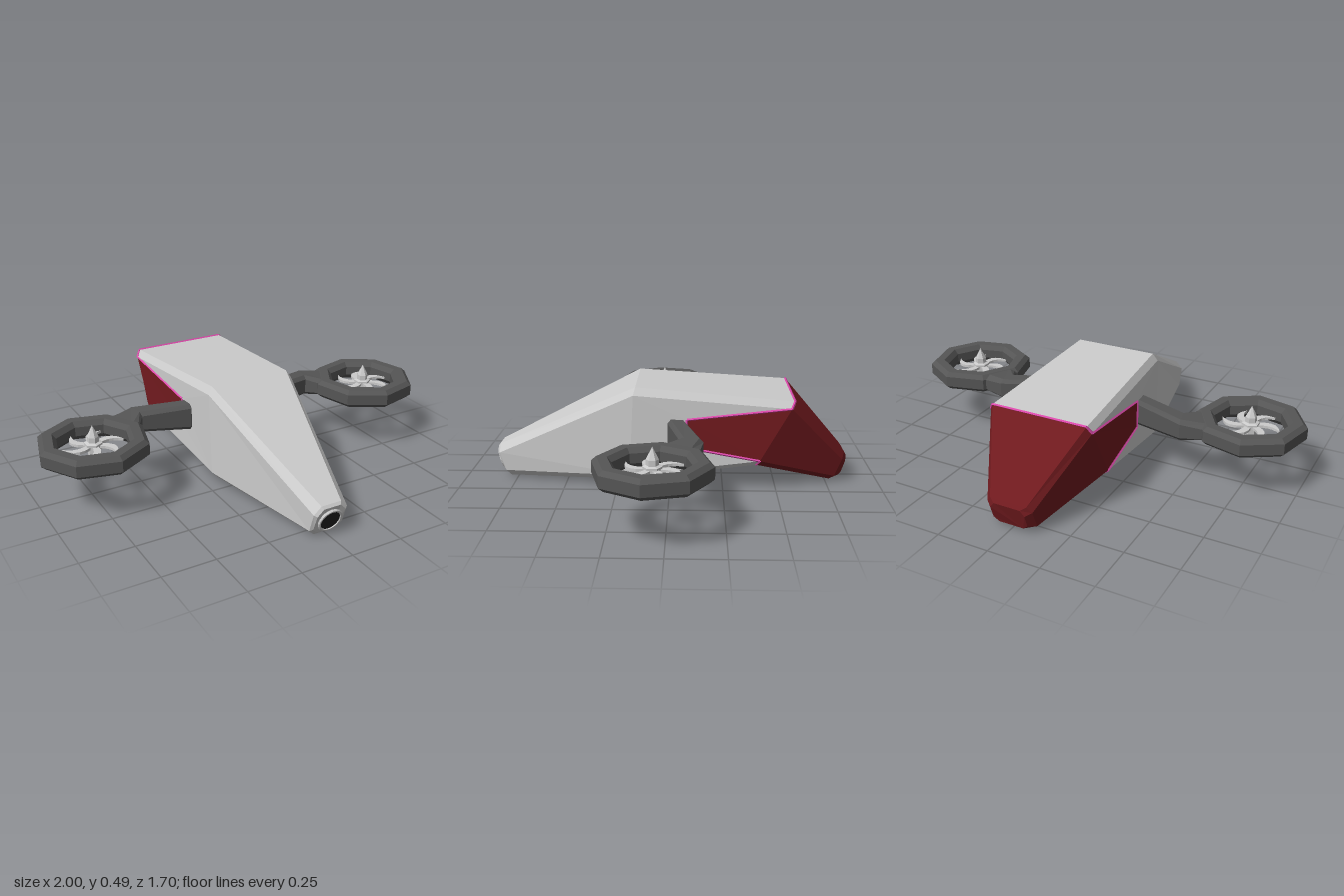
import * as THREE from 'three';

const material = (color) => new THREE.MeshStandardMaterial({ color, flatShading: true });
const grey = material(0xcccccc), dark = material(0x555555), red = material(0x701a1e);
const pink = material(0xd848a8), black = material(0x222222);

function add(parent, name, geometry, mat) {
  const mesh = new THREE.Mesh(geometry, mat);
  mesh.name = name;
  parent.add(mesh);
  return mesh;
}

// Fans each polygon (corners counter-clockwise from outside) into triangles
function polygons(faces) {
  const out = [];
  for (const f of faces)
    for (let i = 1; i < f.length - 1; i++) out.push(...f[0], ...f[i], ...f[i + 1]);
  const geometry = new THREE.BufferGeometry();
  geometry.setAttribute('position', new THREE.Float32BufferAttribute(out, 3));
  geometry.computeVertexNormals();
  return geometry;
}

// Skins a row of equal-sized rings
function loft(rings, { capStart = false, capEnd = false, skip = [] } = {}) {
  const faces = [], n = rings[0].length;
  for (let r = 0; r < rings.length - 1; r++)
    for (let i = 0; i < n; i++) {
      if (skip.includes(i)) continue;
      const j = (i + 1) % n;
      faces.push([rings[r][i], rings[r][j], rings[r + 1][j], rings[r + 1][i]]);
    }
  if (capStart) faces.push([...rings[0]].reverse());
  if (capEnd) faces.push(rings[rings.length - 1]);
  return polygons(faces);
}

const flip = ([x, y, z]) => [-x, y, z];
// Octagonal body section from its four corners on the left side
const section = (...half) => [...half, ...half.map(flip).reverse()];
// Mirrors a list of faces to the other side
const bothSides = (faces) => [...faces, ...faces.map((f) => f.map(flip).reverse())];

function createBody() {
  const body = new THREE.Group();
  body.name = 'body';

  // Corners run bottom, lower side, upper side, top
  const nose = section([0.05, 0.005, 0.79], [0.085, 0.04, 0.805], [0.085, 0.13, 0.833], [0.05, 0.165, 0.836]);
  const lip = nose.map(([x, y, z]) => [x * 0.85, 0.085 + (y - 0.085) * 0.85, z + 0.01]);
  const mid = section([0.195, 0.04, 0.2], [0.22, 0.065, 0.19], [0.222, 0.455, 0.17], [0.2, 0.49, 0.16]);
  const rear = section([0.22, 0.125, -0.405], [0.257, 0.155, -0.42], [0.255, 0.405, -0.56], [0.235, 0.437, -0.575]);
  const tail = section([0.08, 0.01, -0.77], [0.112, 0.035, -0.79], [0.112, 0.12, -0.825], [0.09, 0.147, -0.835]);
  const tailEnd = section([0.06, 0.025, -0.82], [0.085, 0.045, -0.825], [0.085, 0.105, -0.845], [0.065, 0.13, -0.848]);

  // Grey shell, with the rear sides left open for the notch
  add(body, 'frontHull', loft([mid, nose, lip], { capEnd: true }), grey);
  add(body, 'upperAndLowerHull', loft([rear, mid], { skip: [1, 5] }), grey);

  const notchTop = [0.235, 0.345, -0.08], notchLow = [0.235, 0.21, -0.08];
  add(body, 'sideHull', polygons(bothSides([
    [mid[2], notchTop, rear[2]],
    [mid[2], mid[1], notchLow, notchTop],
    [mid[1], rear[1], notchLow],
  ])), grey);

  // Red tail and side panels
  add(body, 'sidePanels', polygons(bothSides([[notchTop, notchLow, rear[1], rear[2]]])), red);
  add(body, 'tail', loft([tailEnd, tail, rear], { capStart: true }), red);

  // Thin trim along the seam
  const seam = [notchTop, rear[2], rear[3], rear[4], rear[5], flip(notchTop),
    flip(notchLow), rear[6], rear[7], rear[0], rear[1], notchLow].map((p) => new THREE.Vector3(...p));
  seam.forEach((a, i) => {
    const dir = seam[(i + 1) % seam.length].clone().sub(a);
    const strip = add(body, 'seamTrim', new THREE.CylinderGeometry(0.006, 0.006, dir.length(), 4), pink);
    strip.position.copy(a).addScaledVector(dir, 0.5);
    strip.quaternion.setFromUnitVectors(new THREE.Vector3(0, 1, 0), dir.normalize());
  });

  // Round opening in the nose
  const opening = new THREE.Group();
  opening.name = 'noseOpening';
  opening.position.set(0, 0.083, 0.833);
  opening.rotation.x = 0.28;
  add(opening, 'noseRim', new THREE.TorusGeometry(0.054, 0.007, 6, 20), grey);
  add(opening, 'noseHole', new THREE.CircleGeometry(0.05, 20), black).position.z = 0.002;
  body.add(opening);
  return body;
}

const HUB = { x: 0.745, y: 0.28, z: 0.055 };

// Arm and duct for the left side
function createArm() {
  const arm = new THREE.Group();
  arm.name = 'armAndDuct';

  // Chamfered upright section between a front and a back corner
  const armRing = (front, back, h) => {
    const at = (t, y) => [front[0] + (back[0] - front[0]) * t, HUB.y + y, front[1] + (back[1] - front[1]) * t];
    const c = h - 0.018;
    return [at(0.18, -h), at(0.82, -h), at(1, -c), at(1, c), at(0.82, h), at(0.18, h), at(0, c), at(0, -c)];
  };
  add(arm, 'arm', loft([
    armRing([0.17, 0.005], [0.17, -0.06], 0.067),
    armRing([0.235, 0.01], [0.225, -0.075], 0.065),
    armRing([0.46, -0.05], [0.48, -0.155], 0.052),
    armRing([0.53, 0.06], [0.62, -0.13], 0.04),
  ], { capStart: true, capEnd: true }), dark);

  // Eight-sided duct with a chamfered wall
  const wall = [[0.17, -0.022], [0.19, -0.045], [0.235, -0.045], [0.257, -0.026],
    [0.257, 0.026], [0.235, 0.045], [0.19, 0.045], [0.17, 0.022], [0.17, -0.022]]
    .map(([r, y]) => new THREE.Vector2(r, y));
  const duct = new THREE.LatheGeometry(wall, 8, THREE.MathUtils.degToRad(172));
  add(arm, 'duct', duct, dark).position.set(HUB.x, HUB.y, HUB.z);
  return arm;
}

function createRotor(side) {
  const rotor = new THREE.Group();
  rotor.name = 'rotor';
  rotor.position.set(side * HUB.x, HUB.y, HUB.z);

  // Hub with a spike above and below
  const profile = [[0, -0.098], [0.027, -0.045], [0.027, -0.02], [0.042, -0.015],
    [0.042, 0.015], [0.027, 0.02], [0.027, 0.045], [0, 0.098]]
    .map(([r, y]) => new THREE.Vector2(r, y));
  add(rotor, 'hub', new THREE.LatheGeometry(profile, 6), grey);

  // Six hooked blades
  const shape = new THREE.Shape();
  shape.moveTo(0.03, -0.016);
  shape.quadraticCurveTo(0.13, -0.035, 0.124, 0.066);
  shape.quadraticCurveTo(0.1, 0.005, 0.03, 0.012);
  const blade = new THREE.ExtrudeGeometry(shape, { depth: 0.012, bevelEnabled: false, curveSegments: 5 });
  blade.translate(0, 0, -0.006).rotateX(Math.PI / 2);
  for (let i = 0; i < 6; i++)
    add(rotor, 'blade', blade, grey).rotation.y = (i * Math.PI) / 3 + 0.4;
  return rotor;
}

export function createModel() {
  const model = new THREE.Group();
  model.name = 'drone';
  model.add(createBody());
  for (const side of [1, -1]) {
    const arm = createArm();
    arm.scale.x = side;
    model.add(arm, createRotor(side));
  }
  return model;
}
